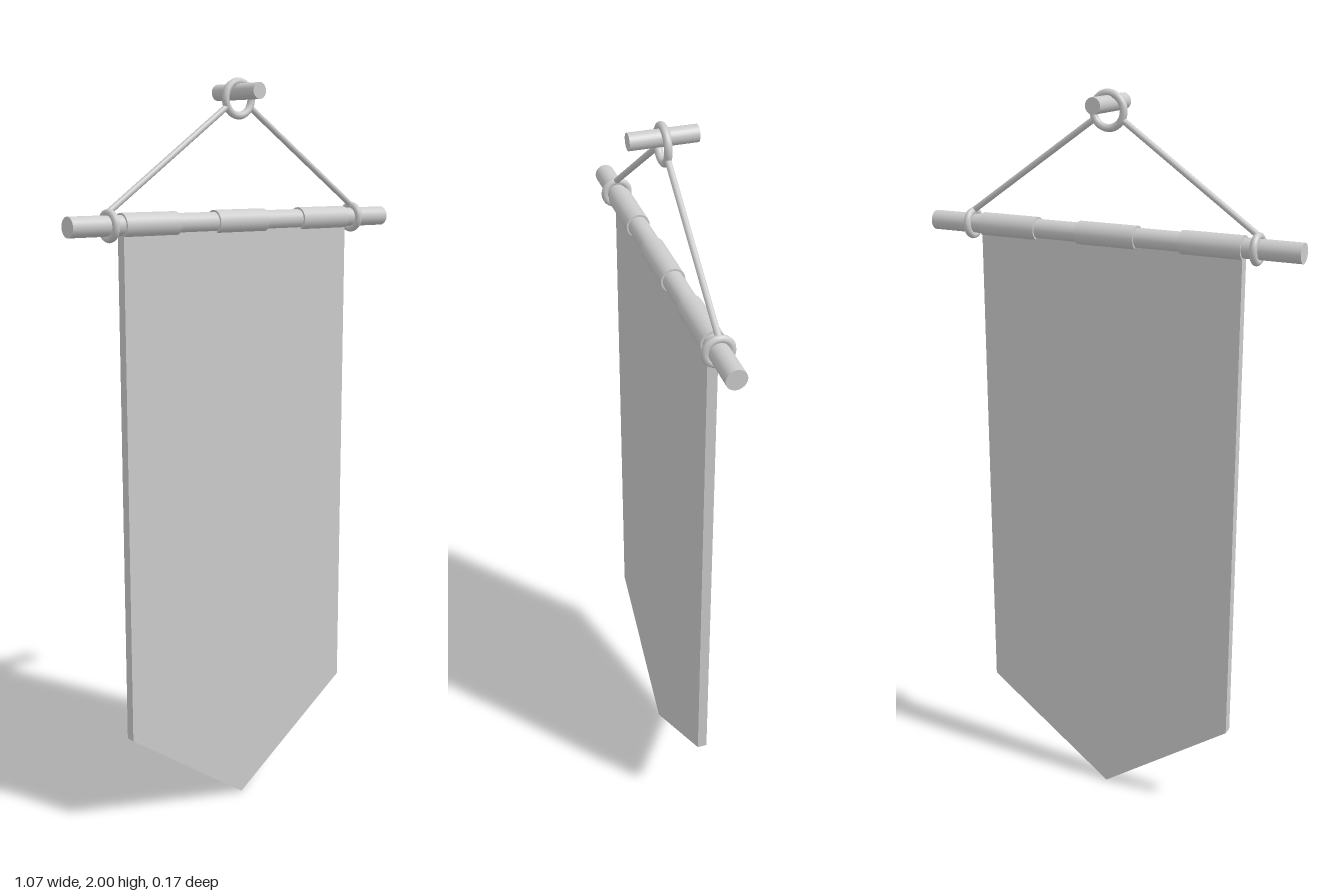
import * as THREE from 'three';

const material = new THREE.MeshStandardMaterial({ color: 0xcccccc });
const ROD_Y = 1.634;

export function createModel() {
  const model = new THREE.Group();
  model.name = 'hangingBanner';

  const add = (name, geometry, x = 0, y = 0, z = 0) => {
    const mesh = new THREE.Mesh(geometry, material);
    mesh.name = name;
    mesh.position.set(x, y, z);
    model.add(mesh);
    return mesh;
  };

  // Flat cloth with a pointed lower end
  const outline = new THREE.Shape();
  outline.moveTo(-0.378, 1.615);
  outline.lineTo(-0.378, 0.267);
  outline.lineTo(0, 0);
  outline.lineTo(0.378, 0.267);
  outline.lineTo(0.378, 1.615);
  outline.closePath();
  const cloth = new THREE.ExtrudeGeometry(outline, { depth: 0.026, bevelEnabled: false });
  add('cloth', cloth, 0, 0, -0.013);

  // Horizontal rod
  const rod = new THREE.CylinderGeometry(0.026, 0.026, 1.066, 24).rotateZ(Math.PI / 2);
  add('rod', rod, 0, ROD_Y);

  // Three cloth loops around the rod
  const sleeve = new THREE.CylinderGeometry(0.031, 0.031, 0.168, 24).rotateZ(Math.PI / 2);
  for (const x of [-0.294, 0, 0.294]) add('sleeve', sleeve, x, ROD_Y);

  // Cord loops on the rod and the two slanted cords
  const loop = new THREE.TorusGeometry(0.032, 0.01, 10, 32).rotateY(Math.PI / 2);
  for (const side of [-1, 1]) {
    add('cordLoop', loop, side * 0.413, ROD_Y);
    const path = new THREE.LineCurve3(
      new THREE.Vector3(side * 0.415, 1.666, 0),
      new THREE.Vector3(side * 0.036, 1.928, 0)
    );
    add('cord', new THREE.TubeGeometry(path, 1, 0.008, 10, false));
  }

  // Hanging ring and the wall peg through it
  add('hangingRing', new THREE.TorusGeometry(0.043, 0.01, 10, 32), 0, 1.947);
  const peg = new THREE.CylinderGeometry(0.021, 0.021, 0.17, 24).rotateX(Math.PI / 2);
  add('peg', peg, 0, 1.964);

  return model;
}
